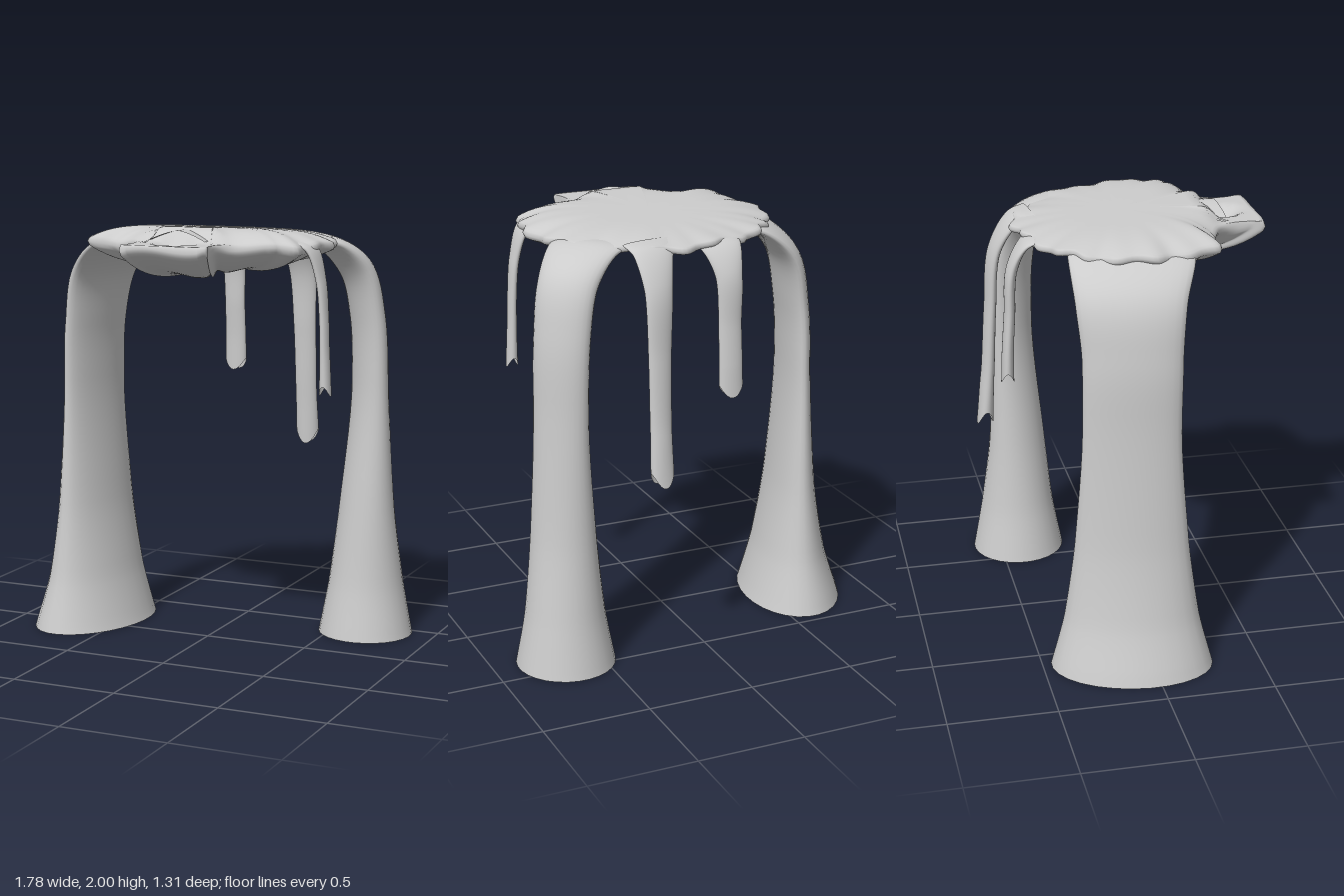
import * as THREE from 'three';

const material = new THREE.MeshStandardMaterial({ color: 0xcccccc, side: THREE.DoubleSide });
const { lerp, smoothstep } = THREE.MathUtils;

// Skin a smooth surface over a list of closed rings of points
function skin(name, rings) {
  const n = rings[0].length;
  const index = [];
  for (let i = 0; i < rings.length - 1; i++) {
    for (let j = 0; j < n; j++) {
      const k = (j + 1) % n;
      const a = i * n + j, b = i * n + k, c = a + n, d = b + n;
      index.push(a, b, c, b, d, c);
    }
  }
  const geometry = new THREE.BufferGeometry().setFromPoints(rings.flat());
  geometry.setIndex(index);
  geometry.computeVertexNormals();
  const mesh = new THREE.Mesh(geometry, material);
  mesh.name = name;
  return mesh;
}

// Flowing strand: sections are [x, y, z, halfWidth, halfThickness] from top to bottom;
// tip is the length of the two rounded tongues at an open end
function strand(name, widthDir, sections, tip = 0) {
  const path = new THREE.CatmullRomCurve3(sections.map(s => new THREE.Vector3(s[0], s[1], s[2])));
  const size = new THREE.CatmullRomCurve3(sections.map(s => new THREE.Vector3(s[3], s[4], 0)));
  const w = new THREE.Vector3(...widthDir).normalize();
  const steps = 48, sides = 28, rings = [];
  for (let i = 0; i <= steps; i++) {
    const u = i / steps;
    const centre = path.getPoint(u), r = size.getPoint(u);
    const tangent = i === steps ? new THREE.Vector3(0, -1, 0) : path.getTangent(u);
    const n = tangent.cross(w).normalize();
    const ring = [];
    for (let j = 0; j < sides; j++) {
      const a = j / sides * Math.PI * 2;
      const p = centre.clone().addScaledVector(w, Math.cos(a) * r.x).addScaledVector(n, Math.sin(a) * r.y);
      p.y -= tip * Math.sin(a) ** 2 * smoothstep(u, 0.85, 1);
      ring.push(p);
    }
    rings.push(ring);
  }
  return skin(name, rings);
}

// Scalloped seat with a domed top, a sagging belly and a spout at the front
function seat() {
  const outline = [
    [0.64, 0.05], [0.61, 0.2], [0.58, 0.33], [0.45, 0.38], [0.31, 0.43], [0.265, 0.5], [0.265, 0.58],
    [0.28, 0.64], [0.24, 0.65], [0.07, 0.65], [-0.1, 0.65], [-0.14, 0.64], [-0.13, 0.58], [-0.135, 0.5],
    [-0.18, 0.42], [-0.28, 0.37], [-0.43, 0.35], [-0.48, 0.2], [-0.52, 0.05], [-0.48, -0.12],
    [-0.42, -0.25], [-0.33, -0.35], [-0.2, -0.42], [-0.05, -0.47], [0.1, -0.49], [0.25, -0.45],
    [0.4, -0.35], [0.52, -0.25], [0.6, -0.1],
  ].map(([x, z]) => new THREE.Vector3(x, 0, z));
  const count = 232;
  const rim = new THREE.CatmullRomCurve3(outline, true, 'centripetal').getPoints(count).slice(0, count);
  const centre = new THREE.Vector3(0.06, 0, 0);
  rim.forEach((p, j) => {
    const a = j / count * Math.PI * 2;
    const scallop = p.z < 0.37 ? 0.012 * Math.cos(a * 29) + 0.006 * Math.sin(a * 11) : 0;
    p.addScaledVector(p.clone().sub(centre).normalize(), scallop);
    p.y = 1.92 + 0.008 * Math.sin(a * 13);
  });

  const top = (x, z, t, edge) => {
    const dome = lerp(1.976 + 0.066 * z, edge, t ** 5);
    const hollow = 0.045 * (1 - smoothstep(Math.hypot(x - 0.06, z - 0.48), 0.03, 0.11));
    return lerp(dome, 1.93 - hollow, smoothstep(z, 0.37, 0.46));
  };
  const belly = (z, t, edge) => edge - 0.025 - (0.085 + 0.16 * z) * (1 - t ** 3);

  const rings = [];
  const addRing = (t, height) => rings.push(rim.map(p => {
    const x = lerp(centre.x, p.x, t), z = lerp(centre.z, p.z, t);
    return new THREE.Vector3(x, height(x, z, t, p.y), z);
  }));
  const ts = [0.001, 0.2, 0.4, 0.5, 0.56, 0.62, 0.68, 0.74, 0.8, 0.86, 0.92, 0.96, 0.985];
  ts.forEach(t => addRing(t, top));
  addRing(1, (x, z, t, edge) => edge - 0.012);
  [...ts].reverse().forEach(t => addRing(t, (x, z, tt, edge) => belly(z, tt, edge)));
  return skin('seat', rings);
}

// Thin arched flap over the hollow of the spout
function spoutFlap() {
  const geometry = new THREE.PlaneGeometry(0.28, 0.2, 12, 4).rotateX(-Math.PI / 2);
  const p = geometry.attributes.position;
  for (let i = 0; i < p.count; i++) {
    const s = Math.abs(p.getX(i)) / 0.14, front = p.getZ(i) / 0.2 + 0.5;
    p.setXYZ(i, p.getX(i) + 0.06, 1.99 - 0.045 * s ** 1.5 - 0.005 * front, 0.355 + p.getZ(i) + 0.02 * s * front);
  }
  geometry.computeVertexNormals();
  const mesh = new THREE.Mesh(geometry, material);
  mesh.name = 'spoutFlap';
  return mesh;
}

export function createModel() {
  const model = new THREE.Group();
  model.name = 'meltingStool';
  model.add(seat(), spoutFlap());

  // Broad leg on the right, round leg at the back left
  model.add(strand('rightLeg', [0.2, 0, -1], [
    [-0.3, 1.91, -0.03, 0.28, 0.02], [-0.43, 1.89, -0.045, 0.28, 0.035], [-0.58, 1.75, -0.08, 0.245, 0.06],
    [-0.635, 1.5, -0.085, 0.222, 0.064], [-0.648, 1.2, -0.09, 0.22, 0.064], [-0.645, 0.6, -0.09, 0.26, 0.105],
    [-0.645, 0.25, -0.09, 0.31, 0.165], [-0.65, 0, -0.09, 0.375, 0.24],
  ]));
  model.add(strand('backLeftLeg', [1, 0, 1], [
    [0.4, 1.91, -0.2, 0.19, 0.02], [0.5, 1.89, -0.27, 0.165, 0.04], [0.605, 1.77, -0.36, 0.14, 0.068],
    [0.65, 1.55, -0.4, 0.133, 0.07], [0.665, 1.2, -0.41, 0.13, 0.075], [0.66, 0.6, -0.4, 0.155, 0.13],
    [0.66, 0.25, -0.405, 0.185, 0.18], [0.66, 0, -0.405, 0.23, 0.227],
  ]));

  // Drips hanging from the rim
  model.add(strand('backRightDrip', [1, 0, 0.1], [
    [-0.07, 1.92, -0.38, 0.13, 0.015], [-0.085, 1.89, -0.46, 0.095, 0.02], [-0.095, 1.77, -0.525, 0.062, 0.026],
    [-0.095, 1.55, -0.54, 0.054, 0.026], [-0.095, 1.4, -0.55, 0.055, 0.027], [-0.095, 1.28, -0.555, 0.056, 0.03],
  ], 0.055));
  model.add(strand('backLeftDrip', [1, 0, -0.1], [
    [0.22, 1.93, -0.38, 0.14, 0.015], [0.24, 1.9, -0.46, 0.1, 0.022], [0.255, 1.75, -0.55, 0.068, 0.026],
    [0.262, 1.45, -0.578, 0.056, 0.027], [0.265, 1.15, -0.595, 0.053, 0.03], [0.267, 0.94, -0.615, 0.056, 0.038],
  ], 0.07));
  model.add(strand('leftDrip', [0, 0, 1], [
    [0.54, 1.93, 0.2, 0.09, 0.012], [0.6, 1.9, 0.2, 0.07, 0.018], [0.645, 1.76, 0.2, 0.042, 0.02],
    [0.66, 1.6, 0.2, 0.035, 0.02], [0.665, 1.45, 0.2, 0.034, 0.021], [0.67, 1.29, 0.2, 0.036, 0.027],
  ], 0.045));
  return model;
}
